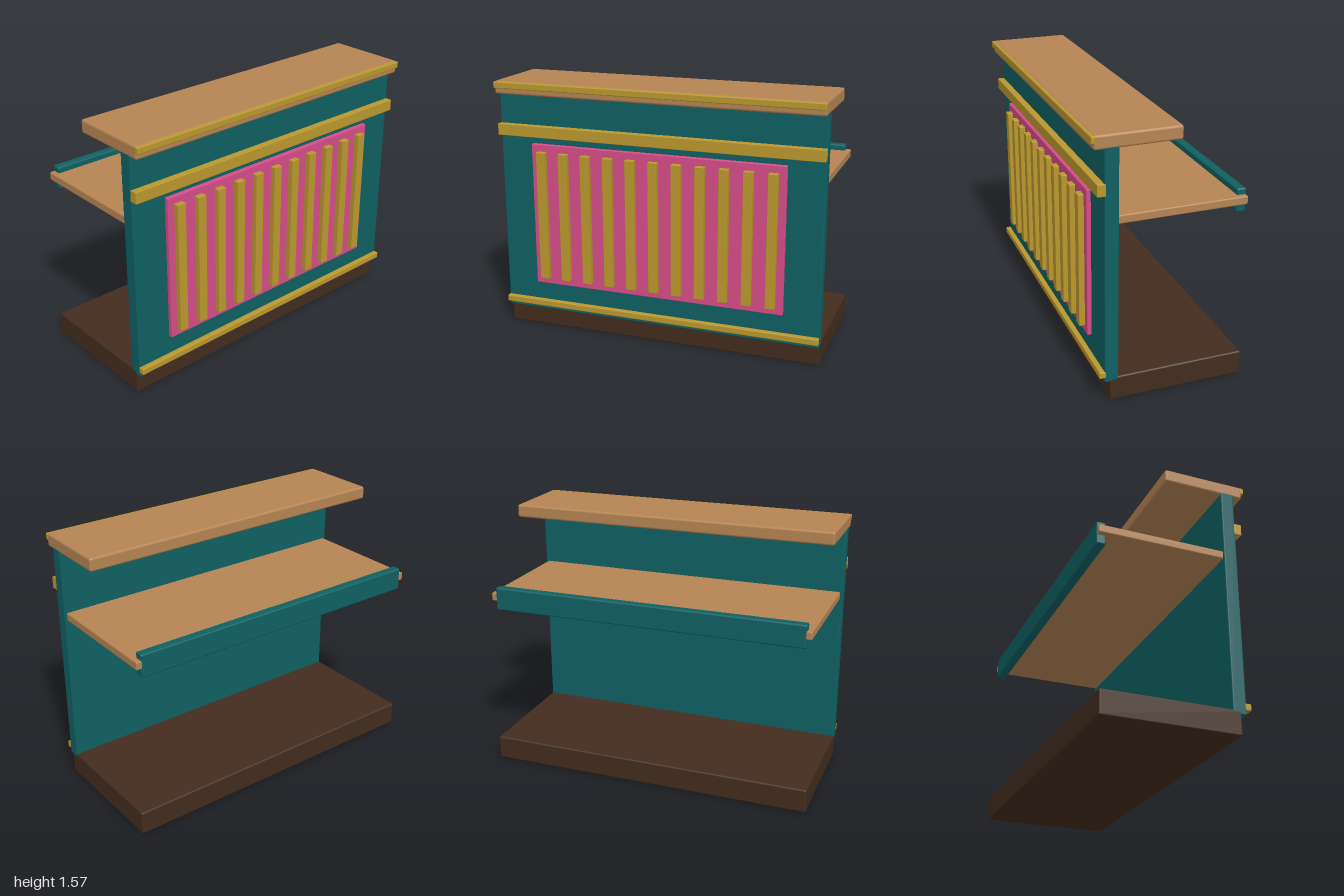
import * as THREE from 'three';
import { RoundedBoxGeometry } from 'three/addons/geometries/RoundedBoxGeometry.js';

const material = (name, color) => {
  const m = new THREE.MeshStandardMaterial({ color });
  m.name = name;
  return m;
};

export function createModel() {
  const group = new THREE.Group();
  group.name = 'shopCounter';

  const wood = material('tan wood', 0xb58453);
  const darkWood = material('dark brown wood', 0x432c1e);
  const teal = material('teal paint', 0x0f6062);
  const gold = material('gold trim', 0xba982e);
  const pink = material('pink panel', 0xd64c88);

  // Soft-edged board given by its extents
  const board = (name, mat, [x0, x1], [y0, y1], [z0, z1], radius) => {
    const geo = new RoundedBoxGeometry(x1 - x0, y1 - y0, z1 - z0, 2, radius);
    const mesh = new THREE.Mesh(geo, mat);
    mesh.name = name;
    mesh.position.set((x0 + x1) / 2, (y0 + y1) / 2, (z0 + z1) / 2);
    group.add(mesh);
  };
  const full = [-1, 1];

  // Main structure
  board('plinth', darkWood, full, [0, 0.145], [-0.45, 0.35], 0.01);
  board('frontWall', teal, full, [0.12, 1.5], [0.3, 0.38], 0.008);
  board('counterTop', wood, full, [1.485, 1.565], [-0.05, 0.437], 0.014);

  // Rear shelf with raised lip
  board('shelf', wood, [-0.985, 0.985], [1.06, 1.11], [-0.448, 0.31], 0.008);
  board('shelfLip', teal, [-0.955, 0.955], [1.005, 1.145], [-0.45, -0.395], 0.01);

  // Horizontal trims
  board('topTrim', gold, full, [1.521, 1.561], [0.426, 0.451], 0.006);
  board('upperTrim', gold, full, [1.232, 1.302], [0.37, 0.42], 0.004);
  board('lowerTrim', gold, full, [0.149, 0.189], [0.37, 0.41], 0.006);

  // Decorative panel with vertical slats
  board('frontPanel', pink, [-0.785, 0.785], [0.305, 1.19], [0.375, 0.405], 0.004);
  for (let i = 0; i < 11; i++) {
    const x = (i - 5) * 0.143;
    board('slat' + (i + 1), gold, [x - 0.028, x + 0.028], [0.347, 1.147], [0.4, 0.438], 0.003);
  }

  return group;
}
